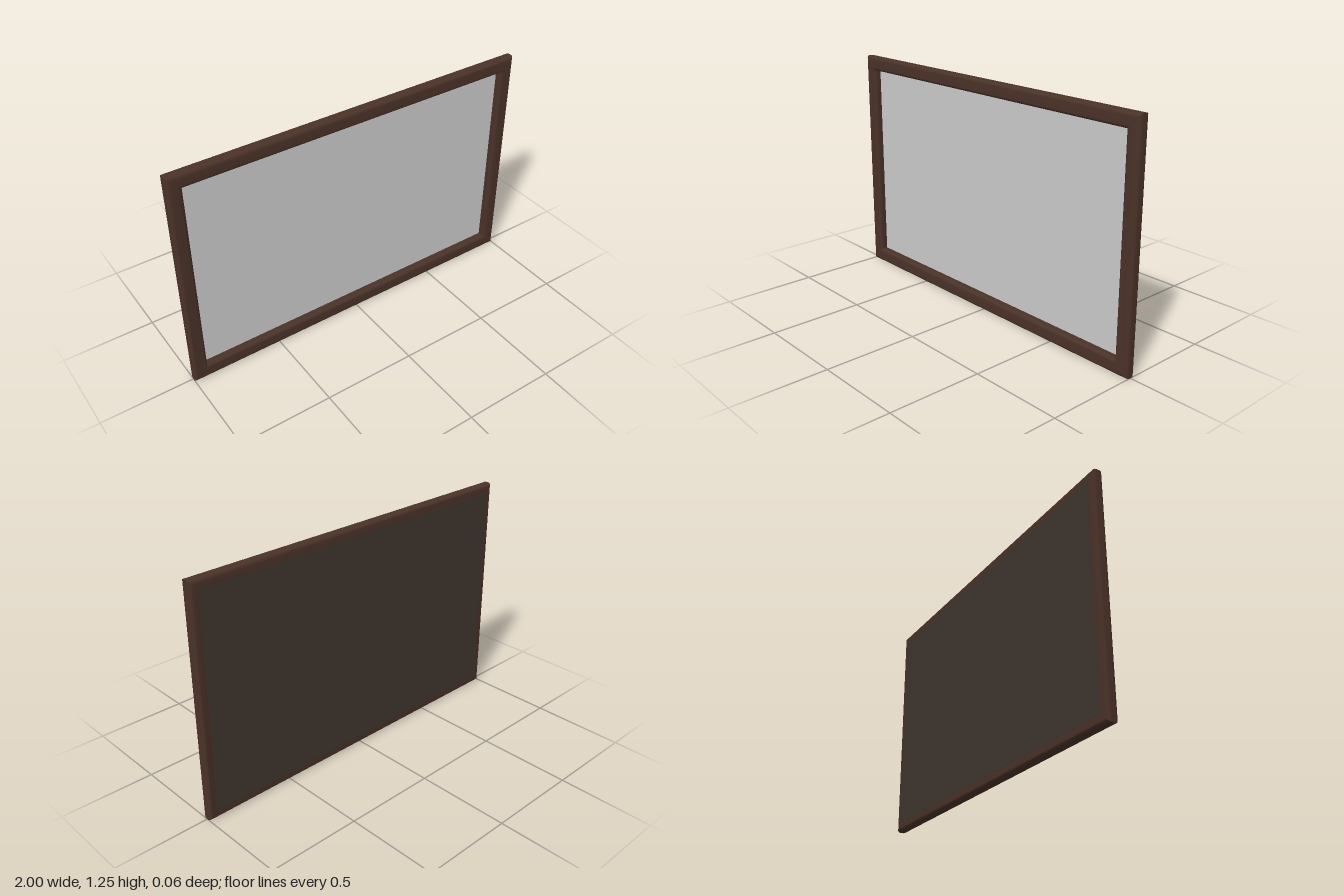
import * as THREE from 'three';
import { toCreasedNormals } from 'three/addons/utils/BufferGeometryUtils.js';

const W = 2, H = 1.25, D = 0.06; // overall size
const BAR = 0.078;               // width of the frame bars
const ROUND = 0.02;              // rounding of the bar edges

// Closed rectangle centred on the origin
function rectangle(Type, w, h) {
  return new Type([
    new THREE.Vector2(-w / 2, -h / 2),
    new THREE.Vector2(w / 2, -h / 2),
    new THREE.Vector2(w / 2, h / 2),
    new THREE.Vector2(-w / 2, h / 2),
  ]);
}

function part(name, geometry, color, z) {
  const mesh = new THREE.Mesh(geometry, new THREE.MeshStandardMaterial({ color }));
  mesh.name = name;
  mesh.position.set(0, H / 2, z);
  return mesh;
}

export function createModel() {
  const model = new THREE.Group();
  model.name = 'framedBoard';

  // Mitred frame with rounded inner and outer edges
  const outline = rectangle(THREE.Shape, W, H);
  outline.holes.push(rectangle(THREE.Path, W - 2 * BAR, H - 2 * BAR));
  const frame = new THREE.ExtrudeGeometry(outline, {
    depth: D - 2 * ROUND,
    bevelThickness: ROUND,
    bevelSize: ROUND,
    bevelOffset: -ROUND,
    bevelSegments: 5,
  });
  frame.translate(0, 0, -D / 2 + ROUND);
  model.add(part('frame', toCreasedNormals(frame, 0.6), 0x4a3228, 0));

  // Recessed front pane
  const pane = new THREE.BoxGeometry(W - 2 * BAR + 0.01, H - 2 * BAR + 0.01, 0.008);
  model.add(part('pane', pane, 0xcccccc, -0.014));

  // Backing board, flush with the rear of the frame
  const backing = new THREE.BoxGeometry(W - 0.09, H - 0.09, 0.012);
  model.add(part('backing', backing, 0x40362f, -D / 2 + 0.005));

  return model;
}
